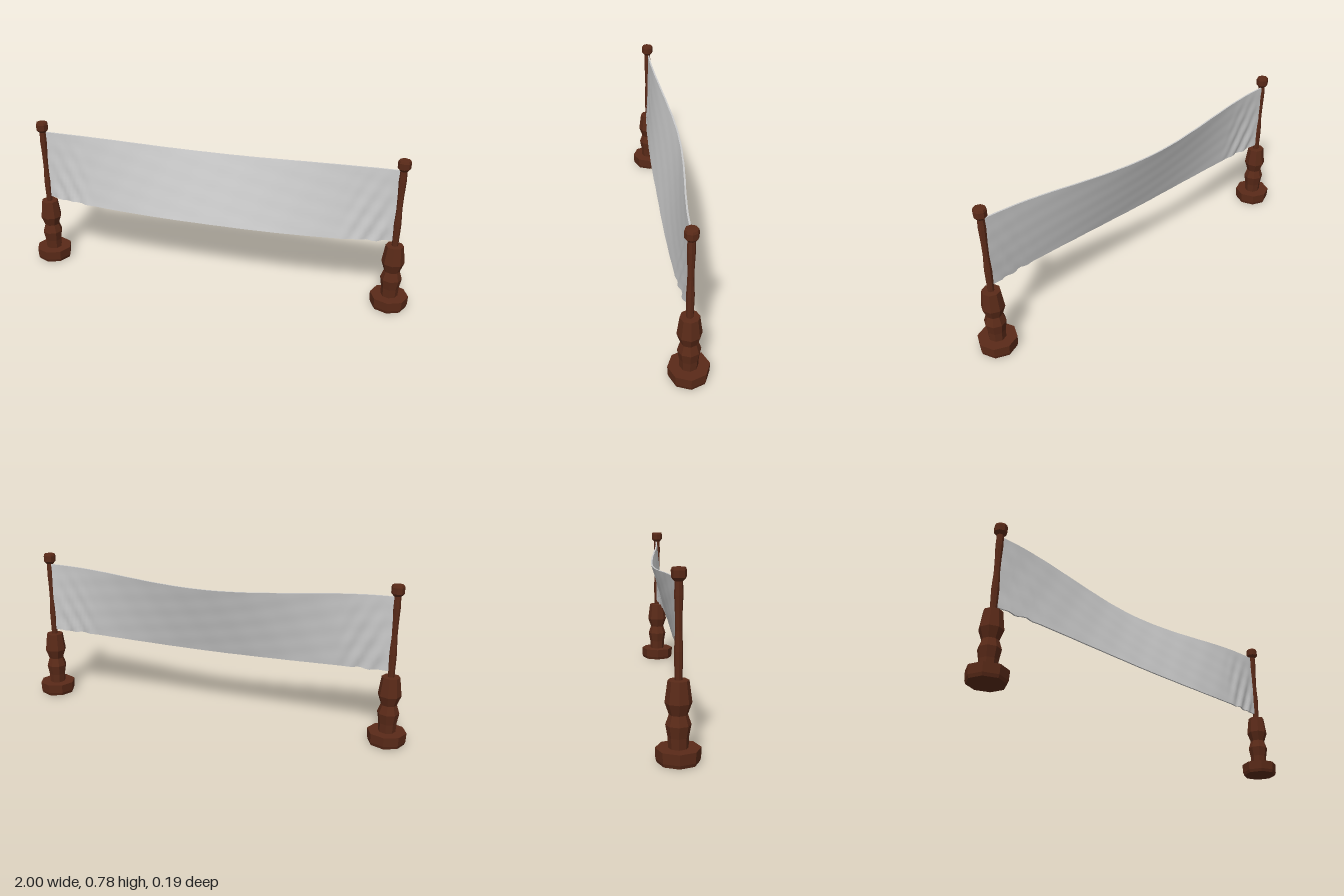
import * as THREE from 'three';

const wood = new THREE.MeshStandardMaterial({ color: 0x5a2a18, flatShading: true });
const cloth = new THREE.MeshStandardMaterial({ color: 0xcccccc });

// Eight-sided turned part from [radius, height] pairs, bottom to top
function turned(name, profile) {
  const points = profile.map(([r, y]) => new THREE.Vector2(r, y));
  const mesh = new THREE.Mesh(new THREE.LatheGeometry(points, 8), wood);
  mesh.name = name;
  return mesh;
}

function makePost(name, x) {
  const post = new THREE.Group();
  post.name = name;
  post.add(
    turned('foot', [[0, 0], [0.086, 0], [0.091, 0.015], [0.093, 0.06], [0, 0.06]]),
    turned('baluster', [[0.041, 0.058], [0.043, 0.105], [0.052, 0.155], [0.038, 0.197],
      [0.055, 0.245], [0.043, 0.335], [0, 0.336]]),
    turned('pole', [[0.015, 0.33], [0.017, 0.4], [0.018, 0.45], [0.014, 0.53], [0.015, 0.6],
      [0.018, 0.67], [0.016, 0.735]]),
    turned('knob', [[0, 0.722], [0.018, 0.723], [0.03, 0.737], [0.031, 0.766], [0.027, 0.776], [0, 0.777]]),
  );
  post.position.x = x;
  return post;
}

// Sagging sheet: the top edge billows back, the bottom edge swings forward
function makeBanner() {
  const half = 0.897, thickness = 0.008;
  const geo = new THREE.BoxGeometry(2, 1, 1, 96, 20, 1);
  const pos = geo.attributes.position;
  for (let i = 0; i < pos.count; i++) {
    const u = pos.getX(i), v = pos.getY(i) + 0.5, side = pos.getZ(i);
    const a = Math.abs(u);
    const sag = Math.cos(u * Math.PI / 2) ** 2;
    const top = 0.722 - 0.04 * sag;
    const bottom = 0.362 - 0.027 * (1 - u * u);
    const zTop = -0.006 - 0.06 * sag;
    const zBottom = 0.036 * (1 - a ** 4);
    // creases gathered near the lower corners, faint ripples elsewhere
    const corner = THREE.MathUtils.smoothstep(a, 0.68, 0.85) * (1 - THREE.MathUtils.smoothstep(a, 0.93, 1)) * (1 - v);
    const crease = 0.006 * corner * Math.sin(70 * a - 14 * v + u)
      + 0.0008 * Math.sin(23 * u + 9 * v) * Math.sin(17 * v - 11 * u);
    pos.setXYZ(i, u * half,
      THREE.MathUtils.lerp(bottom, top, v) + 0.003 * corner * Math.sin(40 * a),
      THREE.MathUtils.lerp(zBottom, zTop, v) + crease + side * thickness);
  }
  geo.computeVertexNormals();
  const mesh = new THREE.Mesh(geo, cloth);
  mesh.name = 'banner';
  return mesh;
}

export function createModel() {
  const model = new THREE.Group();
  model.name = 'bannerBetweenPosts';
  model.add(makePost('leftPost', 0.907), makePost('rightPost', -0.907), makeBanner());
  return model;
}
